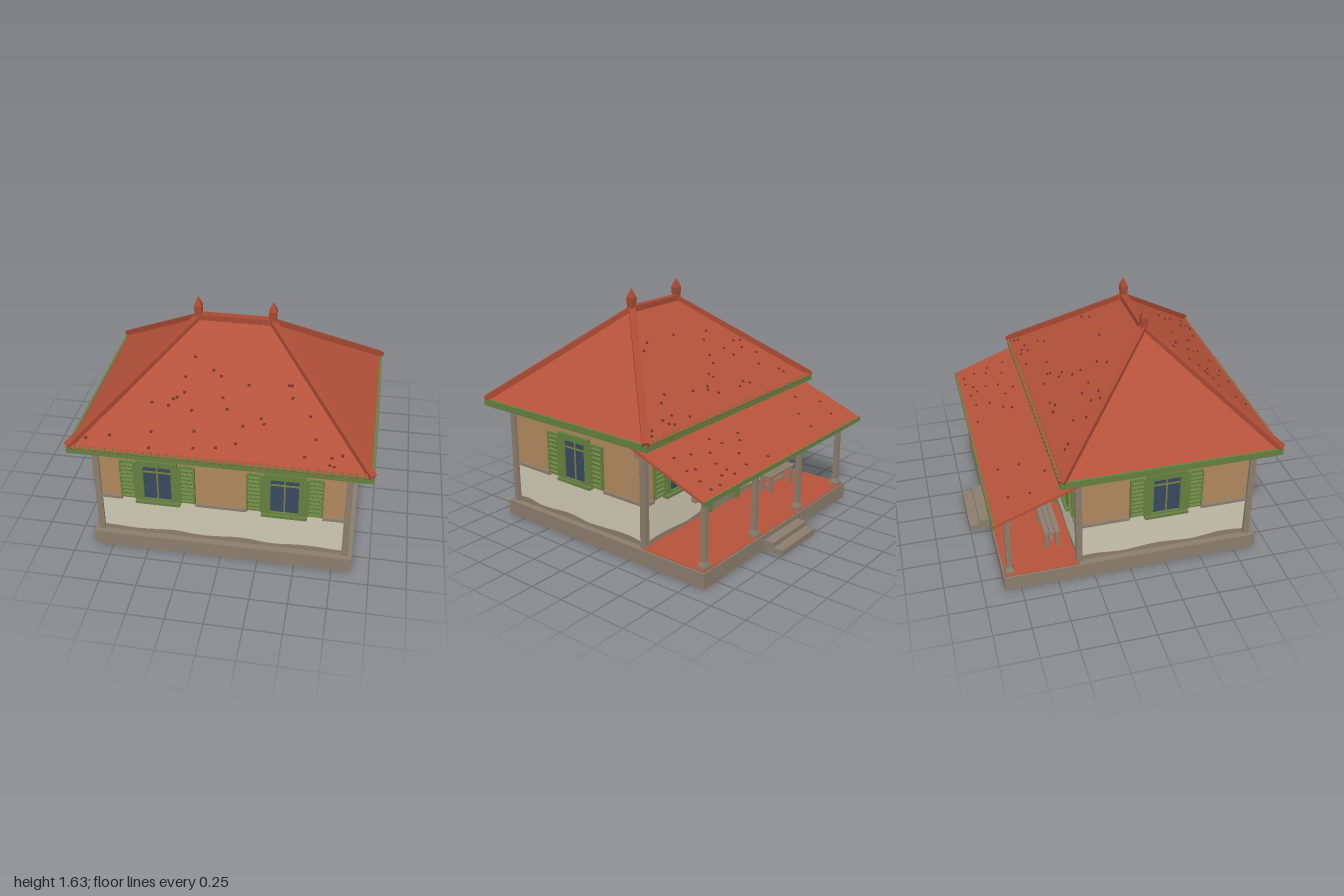
import * as THREE from 'three';
import { mergeGeometries } from 'three/addons/utils/BufferGeometryUtils.js';

const paint = (name, color, side = THREE.FrontSide) => {
  const m = new THREE.MeshStandardMaterial({ color, side });
  m.name = name;
  return m;
};

export function createModel() {
  const M = {
    red: paint('roof tile red', 0xb5523a),
    ridge: paint('ridge red', 0xa84a34),
    dark: paint('worn tile dark red', 0x6b3024),
    tan: paint('ochre wall', 0xb0885e),
    cream: paint('lower plaster', 0xcec7b3),
    grey: paint('weathered grey', 0x8a7d6c),
    green: paint('painted green', 0x668040),
    glass: paint('window glass', 0x37485f),
    bar: paint('glazing bar', 0x7c8038),
  };
  let seed = 7;
  const rnd = () => (seed = (seed * 16807) % 2147483647) / 2147483647;
  const model = new THREE.Group();
  model.name = 'house';
  const group = (name, parent = model) => {
    const g = new THREE.Group();
    g.name = name;
    parent.add(g);
    return g;
  };
  const add = (parent, name, geo, mat, x = 0, y = 0, z = 0) => {
    const m = new THREE.Mesh(geo, mat);
    m.name = name;
    m.position.set(x, y, z);
    parent.add(m);
    return m;
  };
  // box given by its limits
  const box = (parent, name, mat, x0, x1, y0, y1, z0, z1) =>
    add(parent, name, new THREE.BoxGeometry(x1 - x0, y1 - y0, z1 - z0), mat,
      (x0 + x1) / 2, (y0 + y1) / 2, (z0 + z1) / 2);
  // square bar between two points
  const beam = (parent, name, mat, a, b, w, h) => {
    const p = new THREE.Vector3(...a), q = new THREE.Vector3(...b);
    const m = add(parent, name, new THREE.BoxGeometry(w, h, p.distanceTo(q)), mat);
    m.position.copy(p).lerp(q, 0.5);
    m.lookAt(q);
    return m;
  };

  // base, porch floor and steps
  box(model, 'base', M.grey, -0.88, 0.88, 0, 0.108, -0.86, 0.9);
  box(model, 'porchFloor', M.red, -0.868, 0.868, 0.1, 0.113, -0.85, -0.35);
  box(model, 'upperStep', M.grey, -0.21, 0.21, 0, 0.07, -0.93, -0.86);
  box(model, 'lowerStep', M.grey, -0.21, 0.21, 0, 0.035, -1, -0.93);

  // walls and corner posts
  box(model, 'lowerWall', M.cream, -0.83, 0.83, 0.108, 0.4, -0.35, 0.85);
  box(model, 'upperWall', M.tan, -0.83, 0.83, 0.4, 0.86, -0.35, 0.85);
  for (const x of [-0.83, 0.83]) for (const z of [-0.345, 0.845])
    box(model, 'cornerPost', M.grey, x - 0.021, x + 0.021, 0.108, 0.85, z - 0.021, z + 0.021);

  // shuttered window on the plane z = 0, facing +z
  function addWindow(parent, x) {
    const w = group('window', parent);
    w.position.x = x;
    box(w, 'glass', M.glass, -0.095, 0.095, 0.42, 0.7, 0.001, 0.008);
    for (const s of [-1, 1]) {
      const side = group('windowSide', w);
      side.position.x = s * 0.12;
      box(side, 'frameJamb', M.green, -0.03, 0.03, 0.415, 0.715, 0, 0.022);
      side.position.x = s * 0.122;
      const sh = group('shutter', w);
      sh.position.x = s * 0.2;
      box(sh, 'shutterPanel', M.green, -0.05, 0.05, 0.415, 0.715, 0, 0.012);
      for (const e of [-0.045, 0.045])
        box(sh, 'shutterStile', M.green, e - 0.006, e + 0.006, 0.415, 0.715, 0, 0.021);
      for (let i = 0; i < 9; i++) {
        const slat = box(sh, 'slat', M.green, -0.042, 0.042, -0.003, 0.003, -0.013, 0.013);
        slat.position.set(0, 0.437 + i * 0.032, 0.014);
        slat.rotation.x = 0.6;
      }
    }
    box(w, 'frameHead', M.green, -0.135, 0.135, 0.697, 0.742, 0, 0.03);
    box(w, 'frameFoot', M.green, -0.12, 0.12, 0.408, 0.424, 0, 0.022);
    box(w, 'sill', M.green, -0.15, 0.15, 0.392, 0.412, 0, 0.04);
    box(w, 'uprightBar', M.bar, -0.005, 0.005, 0.42, 0.7, 0.006, 0.014);
    box(w, 'crossBar', M.bar, -0.093, 0.093, 0.64, 0.65, 0.006, 0.014);
  }

  // details of each wall: plane, half length, windows and rail gaps
  const walls = [
    ['frontWall', 0, 0.85, 0, 0.81, [-0.42, 0.42], 0],
    ['backWall', 0, -0.35, Math.PI, 0.81, [-0.5, 0.5], 0.2],
    ['leftWall', 0.83, 0.25, Math.PI / 2, 0.58, [0], 0],
    ['rightWall', -0.83, 0.25, -Math.PI / 2, 0.58, [0], 0],
  ];
  for (const [name, x, z, turn, half, windows, door] of walls) {
    const g = group(name);
    g.position.set(x, 0, z);
    g.rotation.y = turn;
    windows.forEach((wx) => addWindow(g, wx));
    // wall rail, broken at openings
    const gaps = windows.map((wx) => [wx - 0.25, wx + 0.25]);
    if (door) gaps.push([-door, door]);
    gaps.sort((a, b) => a[0] - b[0]);
    let start = -half;
    for (const [a, b] of [...gaps, [half, half]]) {
      if (a - start > 0.01) box(g, 'wallRail', M.grey, start, a, 0.392, 0.412, 0, 0.015);
      start = b;
    }
    // worn plaster along the foot
    const shape = new THREE.Shape();
    shape.moveTo(-half, 0.108);
    shape.lineTo(half, 0.108);
    const pts = [], n = Math.round(half * 20), ph = rnd() * 6;
    for (let i = 0; i <= n; i++) {
      const px = half - (2 * half * i) / n;
      pts.push(new THREE.Vector2(px, 0.14 + 0.008 * Math.sin(px * 13 + ph) + 0.008 * (rnd() - 0.5)));
    }
    shape.lineTo(pts[0].x, pts[0].y);
    shape.splineThru(pts.slice(1));
    add(g, 'wornPlaster', new THREE.ExtrudeGeometry(shape, { depth: 0.004, bevelEnabled: false, curveSegments: 60 }), M.grey);
    if (door) {
      for (const s of [-1, 1]) {
        box(g, 'doorJamb', M.green, s * 0.17 - 0.03, s * 0.17 + 0.03, 0.113, 0.74, 0, 0.028);
        box(g, 'doorLeaf', M.grey, s * 0.071 - 0.068, s * 0.071 + 0.068, 0.113, 0.7, 0, 0.012);
        for (const [y0, y1] of [[0.15, 0.36], [0.4, 0.66]])
          box(g, 'doorPanel', M.grey, s * 0.071 - 0.045, s * 0.071 + 0.045, y0, y1, 0, 0.02);
      }
      box(g, 'doorHead', M.green, -0.2, 0.2, 0.7, 0.75, 0, 0.03);
    }
  }

  // hipped roof: four slopes and the soffit
  const EY = 0.87, RY = 1.495, CZ = 0.25;
  const A = [-0.965, EY, 0.98], B = [0.965, EY, 0.98], C = [0.965, EY, -0.48], D = [-0.965, EY, -0.48];
  const E = [-0.24, RY, CZ], F = [0.24, RY, CZ];
  const roof = new THREE.BufferGeometry();
  roof.setAttribute('position', new THREE.Float32BufferAttribute(
    [A, B, F, A, F, E, B, C, F, C, D, E, C, E, F, D, A, E, A, D, C, A, C, B].flat(), 3));
  roof.computeVertexNormals();
  add(model, 'mainRoof', roof, M.red);
  for (const s of [-1, 1]) {
    box(model, 'longFascia', M.green, -0.972, 0.972, 0.835, 0.882, CZ + s * 0.728 - 0.008, CZ + s * 0.728 + 0.008);
    box(model, 'sideFascia', M.green, s * 0.964 - 0.008, s * 0.964 + 0.008, 0.835, 0.882, -0.48, 0.98);
    for (const z of [-0.48, 0.98])
      beam(model, 'hipCap', M.ridge, [s * 0.24, RY, CZ], [s * 0.965, EY + 0.013, z], 0.045, 0.035);
    // finials
    const fin = group('finial');
    fin.position.set(s * 0.245, 0, CZ);
    const post = add(fin, 'finialPost', new THREE.CylinderGeometry(0.037, 0.028, 0.09, 4), M.ridge, 0, 1.525, 0);
    const tip = add(fin, 'finialTip', new THREE.ConeGeometry(0.037, 0.065, 4), M.ridge, 0, 1.6025, 0);
    post.rotation.y = tip.rotation.y = Math.PI / 4;
    for (const m of [post, tip]) m.material = M.ridge;
    post.geometry = post.geometry.toNonIndexed();
    tip.geometry = tip.geometry.toNonIndexed();
    post.geometry.computeVertexNormals();
    tip.geometry.computeVertexNormals();
  }
  box(model, 'ridgeCap', M.ridge, -0.25, 0.25, 1.472, 1.512, CZ - 0.025, CZ + 0.025);

  // worn tiles and tile ends on each slope
  for (let k = 0; k < 4; k++) {
    const g = group('roofSlope');
    g.position.z = CZ;
    g.rotation.y = (k * Math.PI) / 2;
    const run = k % 2 ? 0.725 : 0.73, half = k % 2 ? 0.73 : 0.965, top = k % 2 ? 0 : 0.24;
    const tilt = Math.atan2(RY - EY, run), worn = [], ends = [];
    for (let i = 0; i < 34; i++) {
      const t = 0.05 + 0.85 * (1 - Math.sqrt(1 - rnd() * 0.95));
      const x = (rnd() * 2 - 1) * (half + (top - half) * t - 0.05);
      worn.push(new THREE.BoxGeometry(0.018, 0.008, 0.016).rotateX(tilt)
        .translate(x, EY + (RY - EY) * t, run * (1 - t)));
    }
    for (let x = -half + 0.04; x < half - 0.02; x += 0.05)
      ends.push(new THREE.CylinderGeometry(0.012, 0.012, 0.03, 8).rotateX(Math.PI / 2 + tilt)
        .translate(x, EY + 0.01, run - 0.004));
    add(g, 'wornTiles', mergeGeometries(worn), M.dark);
    add(g, 'tileEnds', mergeGeometries(ends), M.red);
  }

  // lean-to porch roof; local z runs up the slope
  const porch = group('porchRoof');
  porch.position.set(0, 0.725, -0.635);
  porch.rotation.x = -Math.atan2(0.215, 0.555);
  box(porch, 'porchTiles', M.red, -0.96, 0.96, -0.008, 0.01, -0.3, 0.31);
  for (let i = 0; i < 9; i++) {
    const x = -0.88 + i * 0.22;
    box(porch, 'rafter', M.grey, x - 0.012, x + 0.012, -0.034, -0.008, -0.285, 0.29);
  }
  for (const z of [-0.2, -0.07, 0.06, 0.19])
    box(porch, 'batten', M.grey, -0.94, 0.94, -0.018, -0.008, z - 0.01, z + 0.01);
  const spots = [];
  for (let i = 0; i < 24; i++)
    spots.push(new THREE.BoxGeometry(0.018, 0.006, 0.016).translate((rnd() - 0.5) * 1.8, 0.01, -0.26 + rnd() * 0.4));
  add(porch, 'wornTiles', mergeGeometries(spots), M.dark);
  box(model, 'porchFascia', M.green, -0.96, 0.96, 0.6, 0.63, -0.918, -0.906);
  box(model, 'porchBeam', M.grey, -0.93, 0.93, 0.59, 0.625, -0.832, -0.798);
  box(model, 'wallPlate', M.grey, -0.93, 0.93, 0.765, 0.8, -0.39, -0.352);

  // porch posts with flared feet
  for (const x of [-0.82, -0.27, 0.27, 0.82]) {
    const p = group('porchPost');
    p.position.set(x, 0, -0.815);
    box(p, 'shaft', M.grey, -0.017, 0.017, 0.11, 0.6, -0.017, 0.017);
    box(p, 'foot', M.grey, -0.03, 0.03, 0.11, 0.13, -0.03, 0.03);
    const flare = new THREE.CylinderGeometry(0.025, 0.042, 0.03, 4).rotateY(Math.PI / 4).toNonIndexed();
    flare.computeVertexNormals();
    add(p, 'flare', flare, M.grey, 0, 0.145, 0);
  }

  // bench
  const bench = group('bench');
  bench.position.set(-0.51, 0, -0.49);
  for (const z of [-0.037, 0, 0.037])
    box(bench, 'seatSlat', M.grey, -0.165, 0.165, 0.236, 0.251, z - 0.017, z + 0.017);
  for (const x of [-0.135, 0.135]) {
    for (const z of [-0.038, 0.038])
      box(bench, 'leg', M.grey, x - 0.011, x + 0.011, 0.11, 0.236, z - 0.011, z + 0.011);
    box(bench, 'seatBearer', M.grey, x - 0.009, x + 0.009, 0.222, 0.237, -0.045, 0.045);
  }
  box(bench, 'stretcher', M.grey, -0.14, 0.14, 0.155, 0.17, -0.008, 0.008);

  // hanging porch lamp
  add(model, 'lampCord', new THREE.CylinderGeometry(0.003, 0.003, 0.09, 6), M.glass, 0, 0.705, -0.545);
  add(model, 'lampCap', new THREE.CylinderGeometry(0.008, 0.018, 0.02, 10), M.glass, 0, 0.662, -0.545);
  add(model, 'lampBulb', new THREE.SphereGeometry(0.019, 12, 8), M.tan, 0, 0.642, -0.545);
  return model;
}
